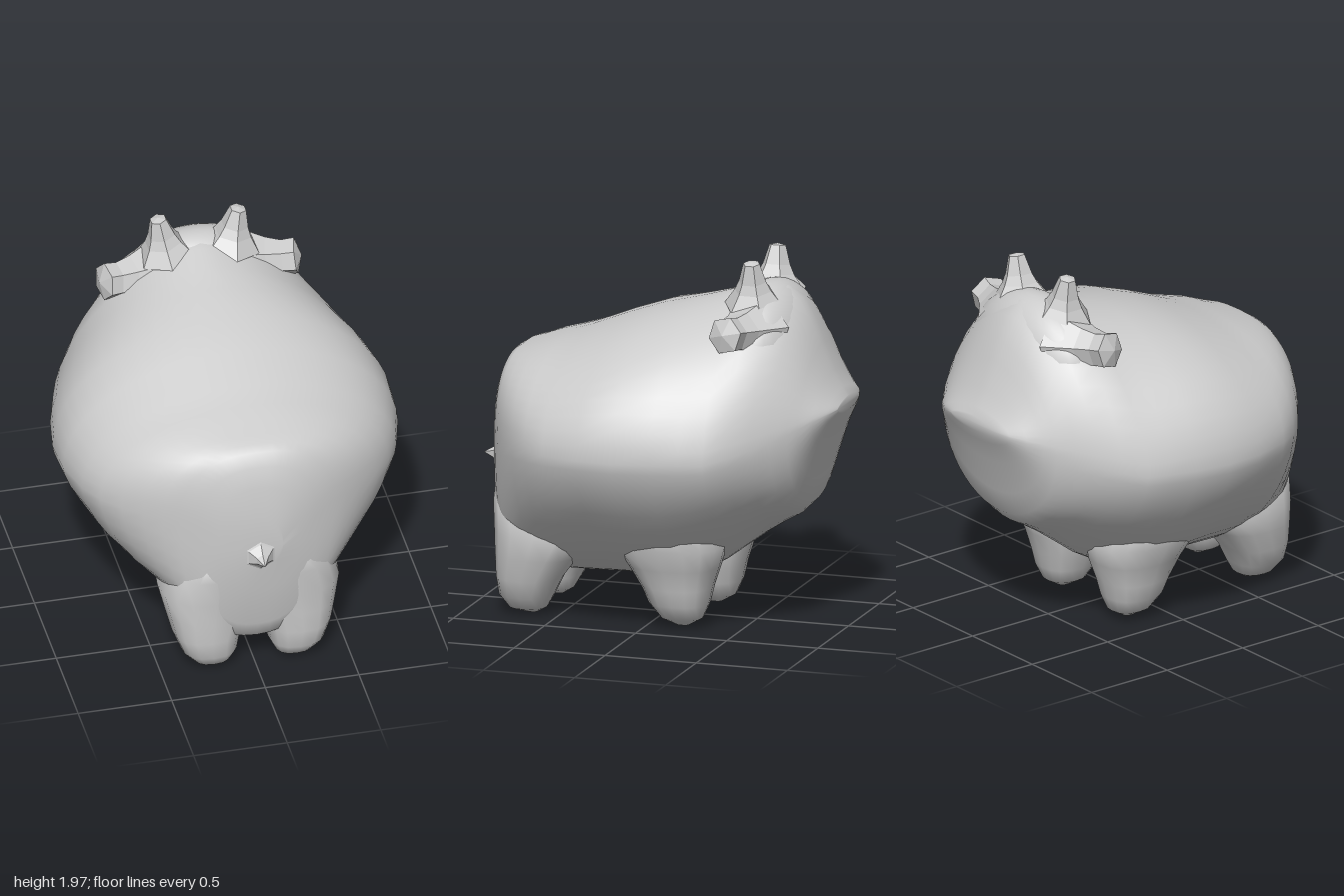
import * as THREE from 'three';

const smooth = new THREE.MeshStandardMaterial({ color: 0xcccccc });
const faceted = new THREE.MeshStandardMaterial({ color: 0xcccccc, flatShading: true });

// Body cross-sections: z, half width, top, bottom, height of widest point, lower roundness
const SECTIONS = [
  [-1.0, 0.18, 1.24, 1.16, 1.2, 2],
  [-0.97, 0.28, 1.28, 1.1, 1.19, 2],
  [-0.92, 0.36, 1.37, 0.98, 1.17, 2],
  [-0.86, 0.43, 1.51, 0.79, 1.14, 2],
  [-0.82, 0.48, 1.61, 0.66, 1.12, 2],
  [-0.75, 0.55, 1.74, 0.59, 1.09, 1.9],
  [-0.67, 0.63, 1.8, 0.545, 1.06, 1.8],
  [-0.57, 0.72, 1.82, 0.48, 1.03, 1.7],
  [-0.46, 0.79, 1.79, 0.4, 1.0, 1.65],
  [-0.34, 0.83, 1.75, 0.31, 1.0, 1.6],
  [-0.2, 0.87, 1.71, 0.23, 1.0, 1.55],
  [0.0, 0.905, 1.66, 0.2, 1.0, 1.52],
  [0.2, 0.895, 1.59, 0.205, 1.0, 1.5],
  [0.4, 0.84, 1.51, 0.2, 1.0, 1.55],
  [0.52, 0.77, 1.47, 0.2, 1.0, 1.6],
  [0.62, 0.68, 1.44, 0.19, 1.0, 1.65],
  [0.7, 0.58, 1.41, 0.18, 1.0, 1.8],
  [0.76, 0.49, 1.395, 0.18, 1.0, 2],
  [0.8, 0.41, 1.37, 0.2, 1.0, 2.3],
  [0.84, 0.31, 1.3, 0.3, 0.95, 2.6],
  [0.87, 0.22, 1.19, 0.53, 0.88, 2.4],
  [0.895, 0.12, 1.0, 0.69, 0.83, 2],
];

// Leg cross-sections: height, inner x, outer x, back z, front z
const FRONT_LEG = [
  [0.0, 0.18, 0.24, 0.63, 0.7],
  [0.03, 0.12, 0.32, 0.58, 0.78],
  [0.1, 0.085, 0.38, 0.54, 0.825],
  [0.2, 0.065, 0.42, 0.49, 0.835],
  [0.32, 0.02, 0.45, 0.4, 0.84],
  [0.45, -0.04, 0.48, 0.3, 0.845],
  [0.6, -0.04, 0.44, 0.32, 0.86],
  [0.78, 0.02, 0.3, 0.4, 0.865],
];
const BACK_LEG = [
  [0.01, 0.24, 0.3, -0.22, -0.15],
  [0.05, 0.17, 0.37, -0.29, -0.07],
  [0.13, 0.13, 0.42, -0.325, -0.01],
  [0.22, 0.1, 0.445, -0.345, 0.03],
  [0.33, 0.06, 0.475, -0.38, 0.1],
  [0.45, 0.06, 0.53, -0.42, 0.17],
  [0.6, 0.12, 0.54, -0.36, 0.14],
];

// Signed power, used for superellipse outlines
const spow = (v, e) => Math.sign(v) * Math.abs(v) ** e;

// Skin a list of equal-length rings, closing both ends
function loft(rings) {
  const N = rings[0].length, last = (rings.length - 1) * N, index = [];
  for (let i = 0; i < last; i += N) {
    for (let j = 0; j < N; j++) {
      const a = i + j, b = i + ((j + 1) % N);
      index.push(a, b, a + N, b, b + N, a + N);
    }
  }
  for (let j = 1; j < N - 1; j++) {
    index.push(0, j + 1, j, last, last + j, last + j + 1);
  }
  const g = new THREE.BufferGeometry();
  g.setAttribute('position', new THREE.Float32BufferAttribute(rings.flat(2), 3));
  g.setIndex(index);
  g.computeVertexNormals();
  return g;
}

// One ring of points from a function of cosine and sine
const ring = (count, point) => Array.from({ length: count }, (_, j) => {
  const a = (j / count) * Math.PI * 2;
  return point(Math.cos(a), Math.sin(a));
});

// Upper outline: sloping beside the head, squarer towards the front wall
const upperRoundness = (z) => 1.65
  + 0.35 * THREE.MathUtils.smoothstep(z, -0.45, 0)
  + 0.5 * THREE.MathUtils.smoothstep(z, 0.4, 0.75);

const bodyRing = ([z, w, top, bottom, mid, low]) => ring(48, (c, s) => {
  const n = s < 0 ? low : upperRoundness(z);
  return [w * spow(c, 2 / n), mid + (s < 0 ? mid - bottom : top - mid) * spow(s, 2 / n), z];
});

// Slightly squared leg ring, mirrored by side without turning it inside out
const legRing = (side) => ([y, x0, x1, z0, z1]) => ring(16, (c, s) => [
  side * (x0 + x1) / 2 + (x1 - x0) / 2 * spow(c, 0.8),
  y,
  (z0 + z1) / 2 - (z1 - z0) / 2 * spow(s, 0.8),
]);

// Turned shape from [radius, height] pairs
const turned = (profile) =>
  new THREE.LatheGeometry(profile.map(([r, y]) => new THREE.Vector2(r, y)), 6);

function add(group, name, geometry, material) {
  const mesh = new THREE.Mesh(geometry, material);
  mesh.name = name;
  group.add(mesh);
  return mesh;
}

// Faceted stub growing from a point along a direction
function addStub(group, name, geometry, position, direction) {
  const mesh = add(group, name, geometry, faceted);
  mesh.position.set(...position);
  mesh.quaternion.setFromUnitVectors(
    new THREE.Vector3(0, 1, 0), new THREE.Vector3(...direction).normalize());
}

export function createModel() {
  const model = new THREE.Group();
  model.name = 'plumpAnimal';

  add(model, 'body', loft(SECTIONS.map(bodyRing)), smooth);

  // Crown of the head, carrying horns and ears
  const crown = add(model, 'crown', new THREE.SphereGeometry(1, 32, 20), smooth);
  crown.scale.set(0.45, 0.37, 0.24);
  crown.position.set(0, 1.455, -0.58);

  // Horns, ears and tail with wide roots
  const horn = turned([[0.16, -0.04], [0.1, 0.04], [0.075, 0.09], [0.045, 0.19], [0, 0.2]]);
  const ear = turned([[0.2, -0.12], [0.12, 0.04], [0.095, 0.12], [0.1, 0.19], [0, 0.22]]);
  const tail = turned([[0.16, -0.02], [0.075, 0.02], [0.035, 0.06], [0, 0.12]]);

  for (const [side, s] of [['left', 1], ['right', -1]]) {
    add(model, side + 'FrontLeg', loft(FRONT_LEG.map(legRing(s))), smooth);
    add(model, side + 'BackLeg', loft(BACK_LEG.map(legRing(s))), smooth);
    addStub(model, side + 'Horn', horn, [s * 0.18, 1.77, -0.54], [s * 0.18, 1, 0]);
    addStub(model, side + 'Ear', ear, [s * 0.33, 1.61, -0.54], [s, 0.15, 0.26]);
  }

  addStub(model, 'tail', tail, [0, 0.775, 0.88], [0, 0, 1]);
  return model;
}
